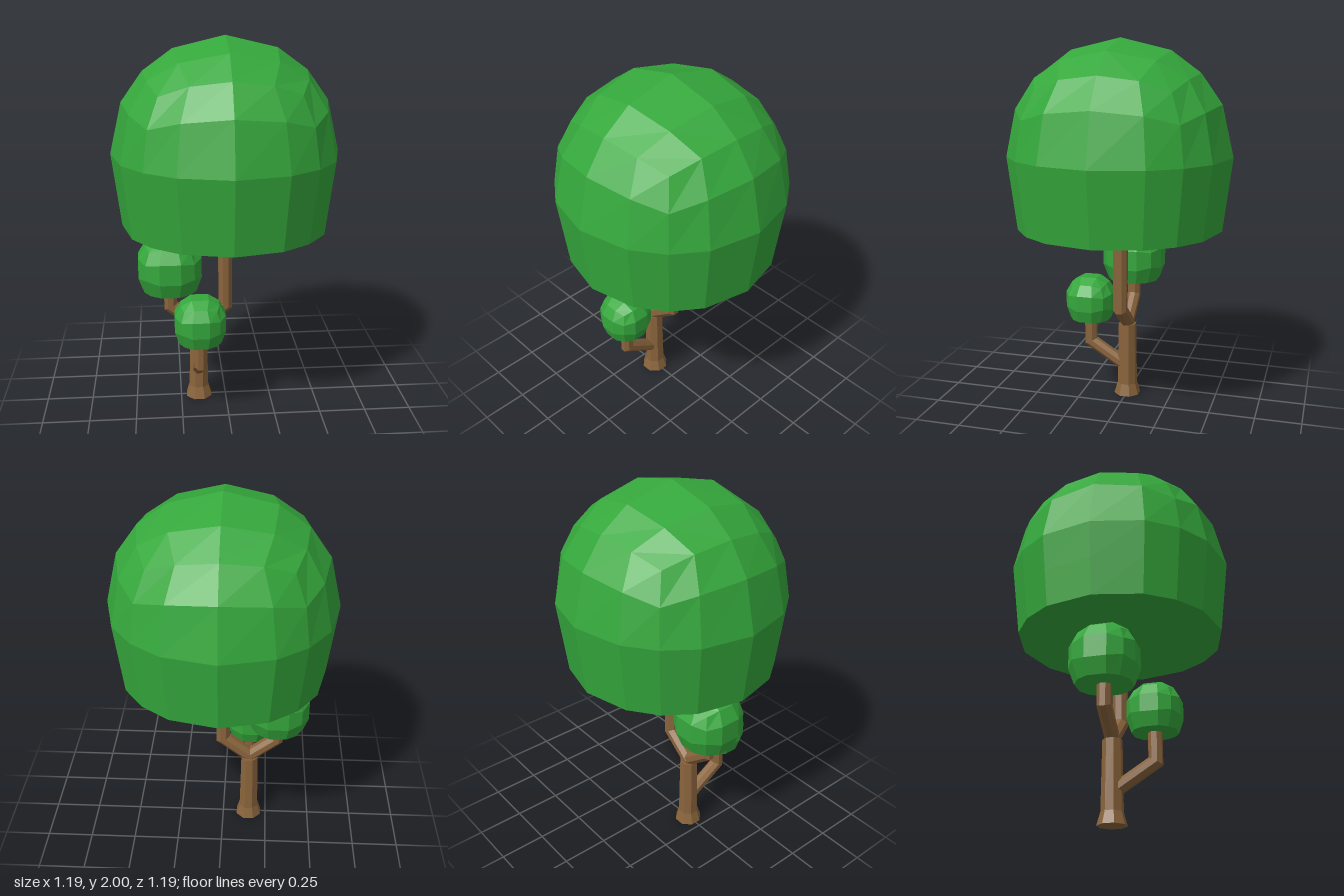
import * as THREE from 'three';

const bark = new THREE.MeshStandardMaterial({ color: 0x8a643c, flatShading: true });
const leaf = new THREE.MeshStandardMaterial({ color: 0x35a83c, flatShading: true });
const SIDES = 8;

// Mitred eight-sided limb along a planar path; side is the normal of the path's plane
function limb(name, path, radii, side) {
  const pts = path.map(p => new THREE.Vector3(...p));
  const B = new THREE.Vector3(...side);
  const rings = pts.map((p, i) => {
    const before = pts[Math.max(i - 1, 0)], after = pts[Math.min(i + 1, pts.length - 1)];
    const a = i > 0 ? p.clone().sub(before).normalize() : after.clone().sub(p).normalize();
    const b = i < pts.length - 1 ? after.clone().sub(p).normalize() : a.clone();
    const T = a.clone().add(b).normalize();
    const N = B.clone().cross(T).divideScalar(T.dot(a));
    return Array.from({ length: SIDES }, (_, j) => {
      const t = (j + 0.5) / SIDES * Math.PI * 2;
      return p.clone().addScaledVector(N, radii[i] * Math.cos(t)).addScaledVector(B, radii[i] * Math.sin(t));
    });
  });
  const tris = [];
  const last = rings.length - 1;
  for (let j = 0; j < SIDES; j++) {
    const k = (j + 1) % SIDES;
    for (let i = 0; i < last; i++) {
      const [a, b, c, d] = [rings[i][j], rings[i][k], rings[i + 1][k], rings[i + 1][j]];
      tris.push(a, b, c, a, c, d);
    }
    tris.push(pts[0], rings[0][k], rings[0][j], pts[last], rings[last][j], rings[last][k]);
  }
  const geo = new THREE.BufferGeometry().setFromPoints(tris);
  geo.computeVertexNormals();
  const mesh = new THREE.Mesh(geo, bark);
  mesh.name = name;
  return mesh;
}

// Subdivided cube pushed out to a sphere, with a flat tapered underside.
// Rows below cut become straight walls down to a disc of radius discR at discY.
function foliage(name, segments, cut, discR, discY, radius, center) {
  const geo = new THREE.BoxGeometry(2, 2, 2, segments, segments, segments).toNonIndexed();
  const pos = geo.attributes.position;
  const v = new THREE.Vector3(), low = new THREE.Vector3();
  for (let i = 0; i < pos.count; i++) {
    v.fromBufferAttribute(pos, i);
    if (v.y > cut - 0.01) {
      v.normalize();
    } else {
      const reach = Math.max(Math.abs(v.x), Math.abs(v.z));
      const az = Math.atan2(v.z, v.x);
      const t = (cut - v.y) / (cut + 1);
      low.set(Math.cos(az) * discR * reach, discY, Math.sin(az) * discR * reach);
      v.y = cut;
      v.normalize().lerp(low, t);
    }
    pos.setXYZ(i, v.x * radius, v.y * radius, v.z * radius);
  }
  geo.computeVertexNormals();
  const mesh = new THREE.Mesh(geo, leaf);
  mesh.name = name;
  mesh.position.set(...center);
  return mesh;
}

export function createModel() {
  const tree = new THREE.Group();
  tree.name = 'tree';

  // Trunk with flared foot, and three bent branches
  const X = -0.15;
  tree.add(
    limb('trunk', [[X, 0, 0], [X, 0.065, 0], [X, 0.42, 0]], [0.075, 0.056, 0.05], [0, 0, 1]),
    limb('mainBranch', [[X, 0.34, 0], [X, 0.43, 0], [0, 0.55, 0], [0, 1.1, 0]],
      [0.04, 0.04, 0.04, 0.04], [0, 0, 1]),
    limb('sideBranch', [[X, 0.34, 0], [X, 0.43, 0], [-0.3, 0.55, 0], [-0.3, 0.72, 0]],
      [0.038, 0.038, 0.038, 0.038], [0, 0, 1]),
    limb('frontBranch', [[X, 0.16, 0], [X, 0.295, 0.215], [X, 0.5, 0.215]],
      [0.036, 0.036, 0.036], [1, 0, 0]),
  );

  // Large crown and two small leaf clusters
  tree.add(
    foliage('crown', 4, 0, 0.92, -0.65, 0.593, [0, 1.407, 0]),
    foliage('sideCluster', 3, -1 / 3, 0.79, -0.74, 0.187, [-0.3, 0.789, 0]),
    foliage('frontCluster', 3, -1 / 3, 0.79, -0.77, 0.147, [X, 0.55, 0.215]),
  );
  return tree;
}
